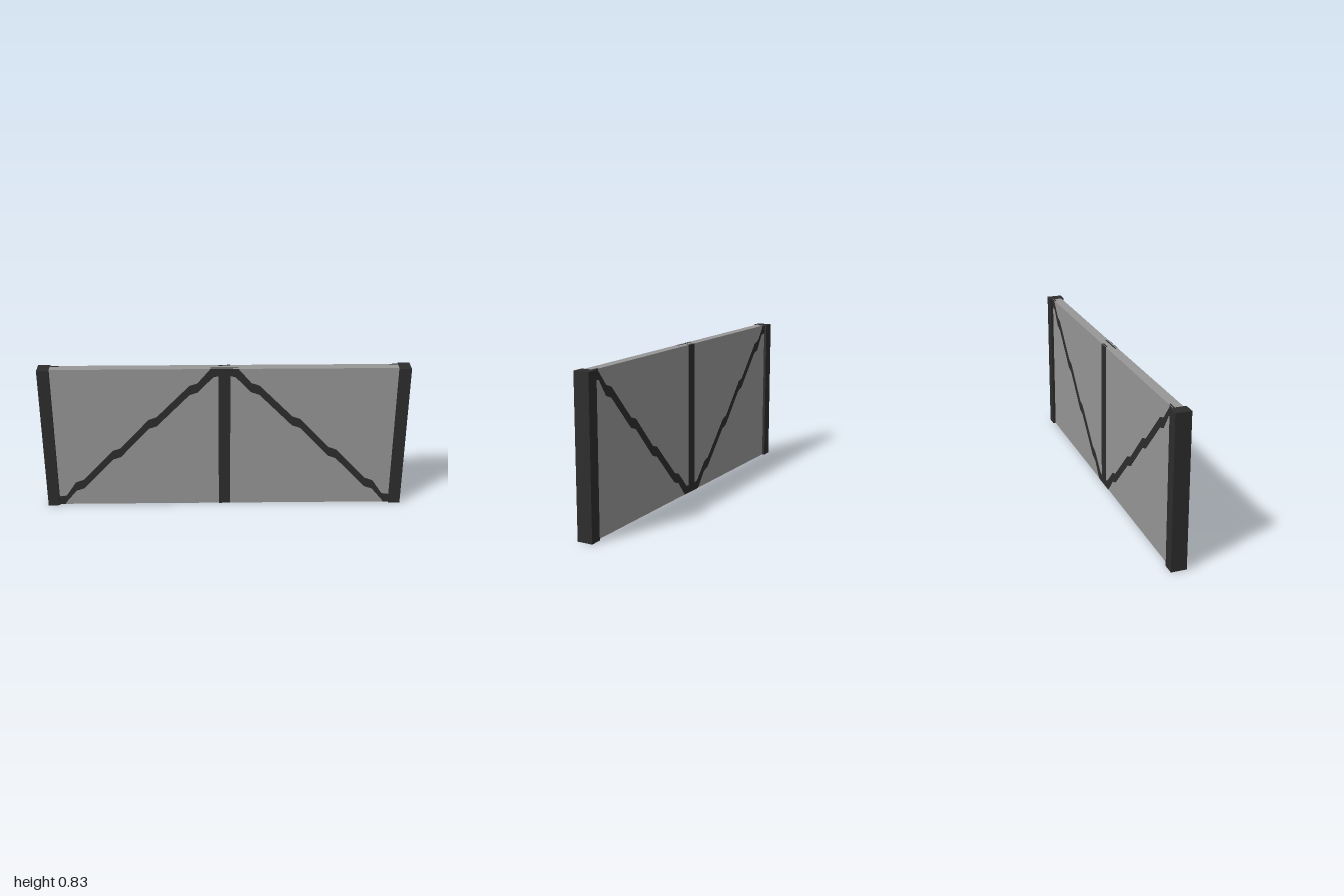
import * as THREE from 'three';

const H = 0.833, PANEL_Z = 0.027, POST_W = 0.065, POST_Z = 0.042;
const INNER = 1 - POST_W, PLATE = 0.002;

export function createModel() {
  const model = new THREE.Group();
  model.name = 'timberWallPanel';
  const plaster = new THREE.MeshStandardMaterial({ color: 0x979797 });
  plaster.name = 'grey plaster';
  const timber = new THREE.MeshStandardMaterial({ color: 0x2d2d2d });
  timber.name = 'dark timber';

  const box = (parent, name, mat, w, h, d, x, y, z) => {
    const mesh = new THREE.Mesh(new THREE.BoxGeometry(w, h, d), mat);
    mesh.name = name;
    mesh.position.set(x, y, z);
    parent.add(mesh);
  };

  // Infill and the two end posts
  box(model, 'infillPanel', plaster, 2 * INNER, H, 2 * PANEL_Z, 0, H / 2, 0);
  for (const s of [1, -1]) {
    box(model, s > 0 ? 'leftPost' : 'rightPost', timber,
      POST_W, H, 2 * POST_Z, s * (1 - POST_W / 2), H / 2, 0);
  }

  // Outline of one crooked brace: straight runs joined by short flat ledges
  const braceShape = (s) => {
    const upper = [[0, H], [0.075, H]];
    const lower = [[0, 0.8], [0.06, 0.785]];
    for (const [x, y] of [[0.167, 0.715], [0.393, 0.513], [0.598, 0.322], [0.815, 0.122]]) {
      for (const d of [-0.022, 0.022]) {
        upper.push([x + d, y + 0.027 - d * 0.35]);
        lower.push([x + d, y - 0.027 - d * 0.35]);
      }
    }
    upper.push([0.895, 0.055], [INNER, 0.05]);
    lower.push([0.9, 0.012], [0.905, 0], [INNER, 0]);
    const points = [...upper, ...lower.reverse()];
    return new THREE.Shape(points.map(([x, y]) => new THREE.Vector2(s * x, y)));
  };

  // Timber pattern of one face, centred on the panel so it can be turned over
  const makeFace = (name) => {
    const face = new THREE.Group();
    face.name = name;
    box(face, 'middlePost', timber, 0.064, H, PLATE, 0, 0, PANEL_Z + PLATE / 2);
    for (const s of [1, -1]) {
      const geo = new THREE.ExtrudeGeometry(braceShape(s), { depth: PLATE, bevelEnabled: false });
      const brace = new THREE.Mesh(geo, timber);
      brace.name = s > 0 ? 'leftBrace' : 'rightBrace';
      brace.position.set(0, -H / 2, PANEL_Z);
      face.add(brace);
      // Brace foot showing on the panel edge
      box(face, 'braceFoot', timber, 0.045, 0.001, 0.008, s * 0.91, -H / 2, 0.02);
    }
    // Timber ends showing on the panel edges
    box(face, 'braceHead', timber, 0.15, 0.001, 0.008, 0, H / 2, 0.014);
    box(face, 'middlePostFoot', timber, 0.06, 0.001, 0.008, 0, -H / 2, 0.02);
    face.position.y = H / 2;
    model.add(face);
    return face;
  };
  makeFace('frontTimbers');
  makeFace('backTimbers').rotation.x = Math.PI;

  return model;
}
